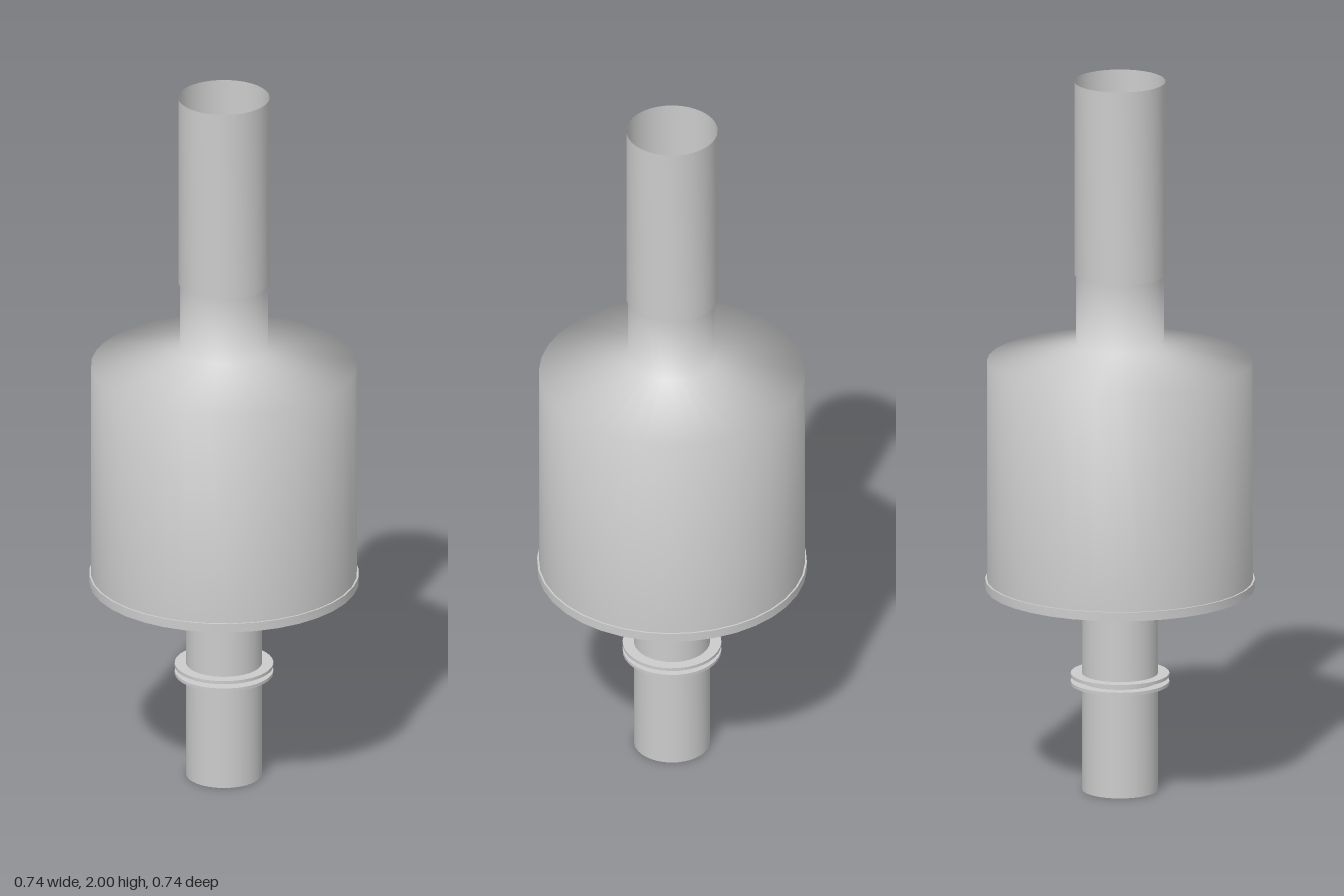
import * as THREE from 'three';
import { mergeVertices, toCreasedNormals } from 'three/addons/utils/BufferGeometryUtils.js';

const SEGMENTS = 36;

export function createModel() {
  const model = new THREE.Group();
  const material = new THREE.MeshStandardMaterial({ color: 0xcccccc, side: THREE.DoubleSide });

  // Revolve [radius, height] pairs; smooth parts blend normals over every edge
  function turned(name, profile, smooth = false) {
    let geometry = new THREE.LatheGeometry(profile.map(([r, y]) => new THREE.Vector2(r, y)), SEGMENTS);
    geometry.deleteAttribute('uv');
    geometry.deleteAttribute('normal');
    if (smooth) {
      geometry = mergeVertices(geometry, 1e-4);
      geometry.computeVertexNormals();
    } else {
      geometry = toCreasedNormals(geometry, 0.6);
    }
    const mesh = new THREE.Mesh(geometry, material);
    mesh.name = name;
    model.add(mesh);
  }

  // Bell-shaped housing: wall, sloping shoulder and neck in one blended skin
  turned('housing', [[0.364, 0.59], [0.364, 1.21], [0.12, 1.26], [0.12, 1.455]], true);

  // Inner wall and ceiling, seen through the open underside
  turned('housingLiner', [[0.118, 1.22], [0.33, 1.18], [0.33, 0.57]]);

  // Rim around the bottom opening
  turned('bottomRim', [[0.33, 0.57], [0.369, 0.57], [0.369, 0.595], [0.363, 0.595]]);

  // Open upper pipe, with the step at its foot
  turned('upperPipe', [[0.112, 1.455], [0.125, 1.455], [0.125, 2]]);

  // Guide sleeve around the sliding tube
  turned('guideSleeve', [[0.108, 1.455], [0.108, 0.558], [0.116, 0.558], [0.116, 1.455], [0.108, 1.455]]);

  // Closed lower tube
  turned('lowerTube', [[0, 0], [0.104, 0], [0.104, 1.445], [0, 1.445]]);

  // Pair of thin collars on the lower tube
  for (const [name, y] of [['lowerCollar', 0.298], ['upperCollar', 0.32]]) {
    turned(name, [[0.104, y], [0.135, y], [0.135, y + 0.009], [0.104, y + 0.009]]);
  }

  return model;
}
